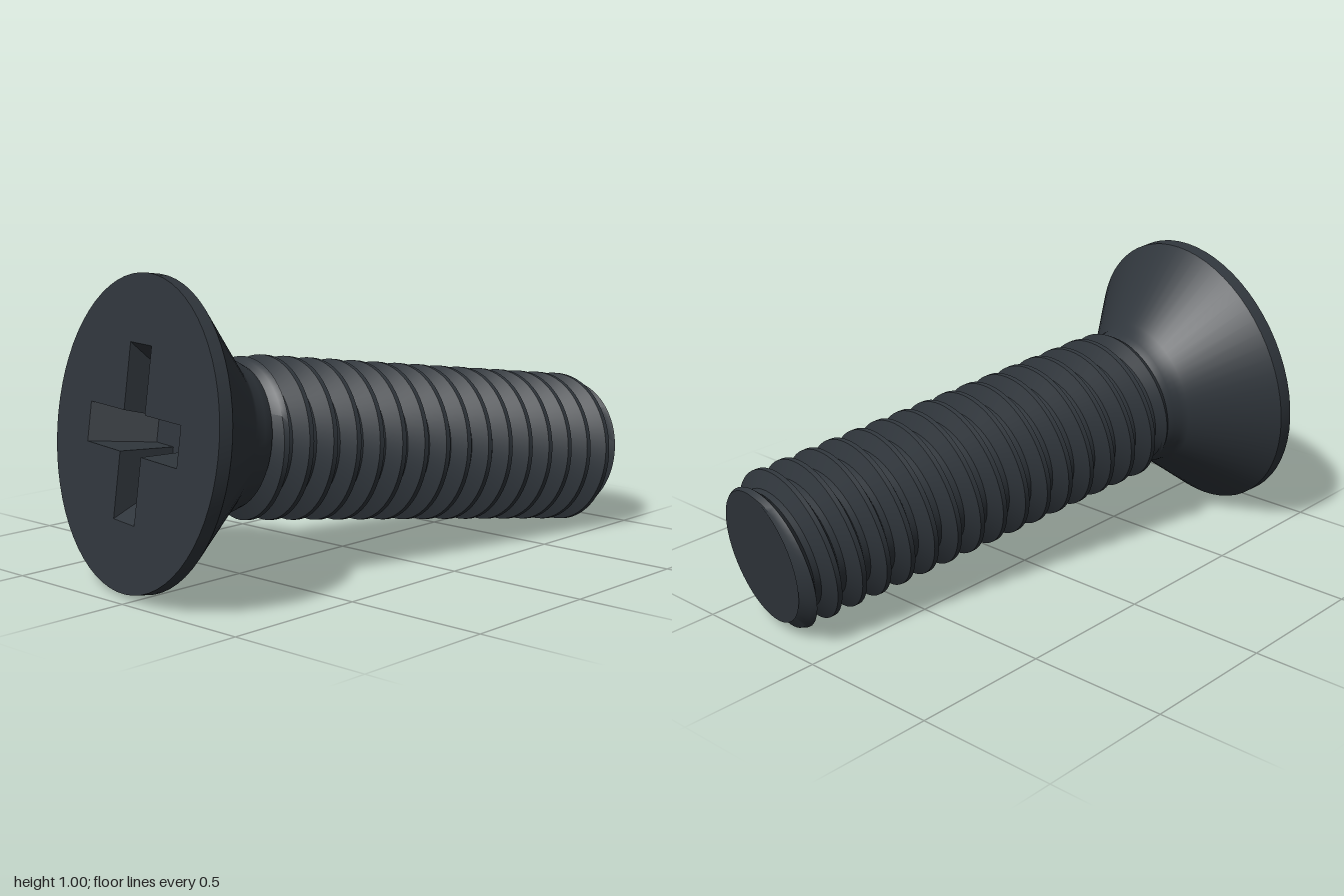
import * as THREE from 'three';
import { toCreasedNormals } from 'three/addons/utils/BufferGeometryUtils.js';

const LENGTH = 1.88, HEAD_R = 0.5, SEG = 64;
const PITCH = 0.0935, PHASE = 0.471, THREAD_START = 0.35, TIP_R = 0.23;

// Cross outline, counter-clockwise: arm half length a, half width w
function crossPoints(a, w) {
  const pts = [];
  for (let k = 0; k < 4; k++) {
    const c = Math.round(Math.cos(k * Math.PI / 2)), s = Math.round(Math.sin(k * Math.PI / 2));
    for (const [x, y] of [[a, -w], [a, w], [w, w]]) {
      pts.push(new THREE.Vector2(x * c - y * s, x * s + y * c));
    }
  }
  return pts;
}

function geometryFrom(positions) {
  const g = new THREE.BufferGeometry();
  g.setAttribute('position', new THREE.Float32BufferAttribute(positions, 3));
  g.computeVertexNormals();
  return g;
}

// Helical thread: one ridge profile swept round the axis, trimmed at both ends
function threadGeometry() {
  const profile = [[-0.09, 0.27], [0.09, 0.27], [0.38, 0.215], [0.62, 0.215]];
  const first = Math.floor((THREAD_START - PHASE) / PITCH) - 2;
  const last = Math.ceil((LENGTH - PHASE) / PITCH) + 1;
  const rows = [];
  for (let k = first; k <= last; k++) {
    for (const [offset, radius] of profile) {
      const row = [];
      for (let j = 0; j <= SEG; j++) {
        const t = j / SEG, a = (j % SEG) / SEG * Math.PI * 2;
        const s = THREE.MathUtils.clamp(PHASE + PITCH * (k + offset + t), THREAD_START, LENGTH);
        const r = Math.min(radius, TIP_R + (LENGTH - s) * 0.9, 0.24 + (s - THREAD_START) * 0.6);
        row.push([Math.sin(a) * r, s, Math.cos(a) * r]);
      }
      rows.push(row);
    }
  }
  const out = [];
  const tri = (a, b, c) => {
    if (a[1] === b[1] && b[1] === c[1]) return;
    out.push(...a, ...b, ...c);
  };
  for (let i = 0; i < rows.length - 1; i++) {
    for (let j = 0; j < SEG; j++) {
      const a = rows[i][j], b = rows[i][j + 1], c = rows[i + 1][j + 1], d = rows[i + 1][j];
      tri(a, b, c);
      tri(a, c, d);
    }
  }
  return toCreasedNormals(geometryFrom(out), 0.6);
}

export function createModel() {
  const steel = new THREE.MeshStandardMaterial({ color: 0x30363c });
  steel.name = 'dark steel';
  const model = new THREE.Group();
  model.name = 'screw';
  const body = new THREE.Group();
  body.name = 'screwBody';
  model.add(body);
  const add = (name, geometry) => {
    const mesh = new THREE.Mesh(geometry, steel);
    mesh.name = name;
    body.add(mesh);
  };

  // Countersunk head with a narrow lip, running into the neck
  const headProfile = [[HEAD_R, 0], [HEAD_R, 0.045], [0.27, 0.28], [0.255, 0.3], [0.25, 0.33], [0.235, 0.365]]
    .map(([r, y]) => new THREE.Vector2(r, y));
  add('headCone', toCreasedNormals(new THREE.LatheGeometry(headProfile, SEG), 0.5));

  // Flat head face with the cross-shaped opening
  const rim = crossPoints(0.28, 0.065), floor = crossPoints(0.15, 0.045), depth = 0.18;
  const face = new THREE.Shape();
  face.absarc(0, 0, HEAD_R, 0, Math.PI * 2);
  face.holes.push(new THREE.Path(rim));
  add('headFace', new THREE.ShapeGeometry(face, SEG / 2).rotateX(Math.PI / 2));

  // Tapered walls and floor of the drive recess
  const walls = [];
  for (let i = 0; i < rim.length; i++) {
    const n = (i + 1) % rim.length;
    const a = [rim[i].x, rim[i].y, 0], b = [rim[n].x, rim[n].y, 0];
    const c = [floor[n].x, floor[n].y, -depth], d = [floor[i].x, floor[i].y, -depth];
    walls.push(...a, ...c, ...d, ...a, ...b, ...c);
  }
  add('recessWalls', geometryFrom(walls).rotateX(Math.PI / 2));
  add('recessFloor', new THREE.ShapeGeometry(new THREE.Shape(floor)).translate(0, 0, -depth).rotateX(Math.PI / 2));

  // Threaded shaft and its flat tip
  add('thread', threadGeometry());
  add('shaftTip', new THREE.CircleGeometry(TIP_R, SEG).rotateX(-Math.PI / 2).translate(0, LENGTH, 0));

  // Lay the screw along its tilted axis
  const axis = new THREE.Vector3(0.972, -0.131, 0.1945).normalize();
  const up = new THREE.Vector3(0, 1, 0).addScaledVector(axis, -axis.y).normalize();
  const side = new THREE.Vector3().crossVectors(axis, up);
  body.quaternion.setFromRotationMatrix(new THREE.Matrix4().makeBasis(side, axis, up));
  body.position.set(-0.8825, 0.512, -0.0745);
  return model;
}
